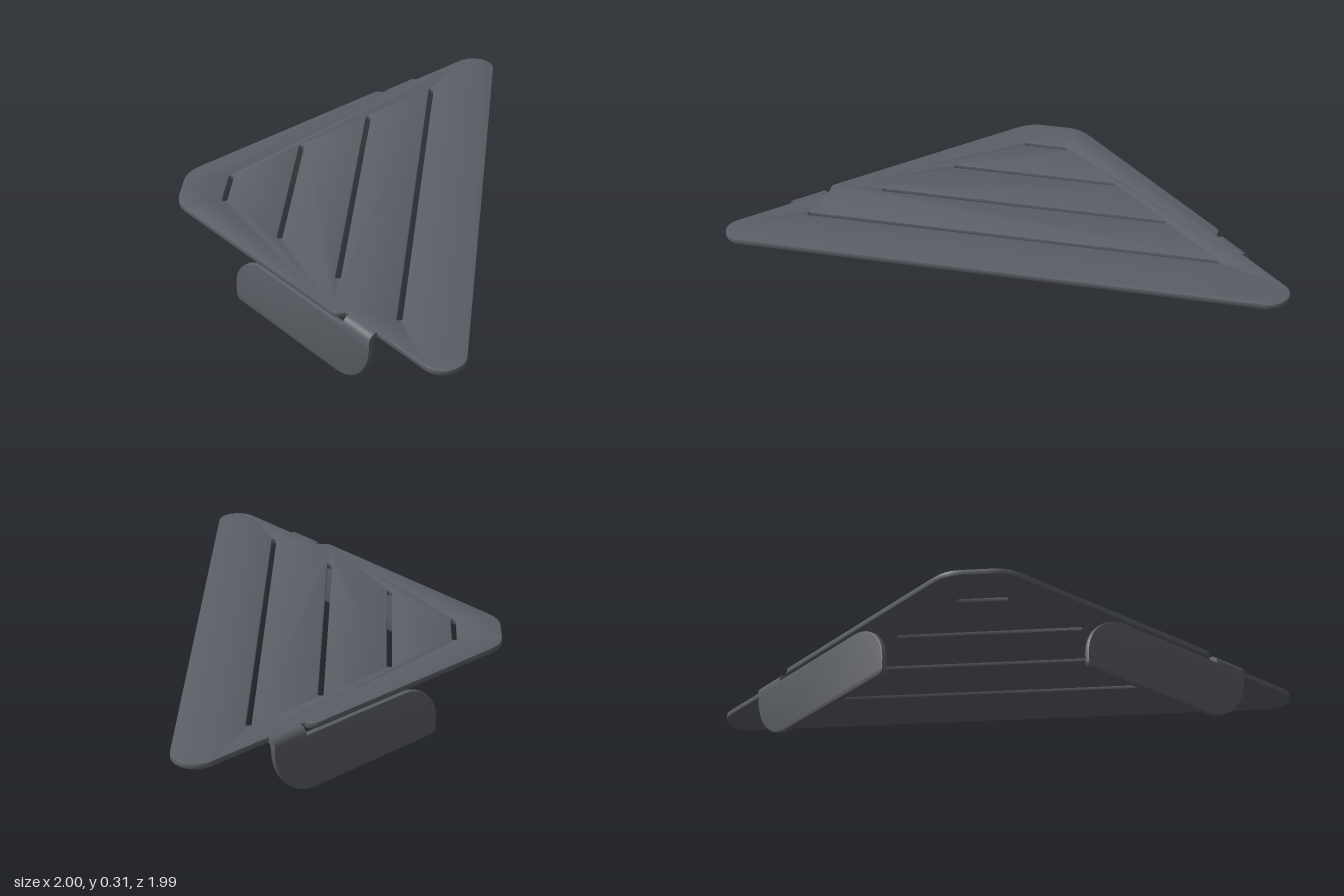
import * as THREE from 'three';
import { toCreasedNormals } from 'three/addons/utils/BufferGeometryUtils.js';

const material = new THREE.MeshStandardMaterial({ color: 0x5b5e65 });
const SHEET = 0.027;   // sheet thickness
const TOP = 0.312;     // upper face of the shelf
const BEND_Y = 0.272;  // top of the wall flanges, centre of the bends

function extrude(shape, depth, bevel = 0.005) {
  const geometry = new THREE.ExtrudeGeometry(shape, {
    depth: depth - 2 * bevel, curveSegments: 16, bevelEnabled: bevel > 0,
    bevelThickness: bevel, bevelSize: bevel, bevelOffset: -bevel, bevelSegments: 2,
  });
  geometry.translate(0, 0, bevel);
  return toCreasedNormals(geometry, 0.6);
}

function addPart(parent, name, geometry) {
  const mesh = new THREE.Mesh(geometry, material);
  mesh.name = name;
  parent.add(mesh);
  return mesh;
}

// Rounded diagonal slot between two mirrored ends (a, b) and (b, a) in plan
function slot(a, b, r = 0.012) {
  const path = new THREE.Path();
  const q = Math.PI / 4;
  path.absarc(a, -b, r, 3 * q, 7 * q, false);
  path.absarc(b, -a, r, -q, 3 * q, false);
  path.rotateless = true;
  path.closePath();
  return path;
}

// Slot drawn as a capsule whose axis runs at 45 degrees
function diagonalSlot(a, b, r = 0.012) {
  const path = new THREE.Path();
  const q = Math.PI / 4;
  path.absarc(a, -b, r, 3 * q, 7 * q, false);
  path.absarc(b, -a, r, -q, 3 * q, false);
  path.closePath();
  return path;
}

// Plan of the shelf, drawn with y = -z
function shelfShape() {
  const s = new THREE.Shape();
  const q = Math.PI / 4;
  s.moveTo(-0.955, -0.895);
  s.absarc(-0.855, -0.895, 0.1, Math.PI, 7 * q, false);   // front tip
  s.absarc(0.895, 0.855, 0.105, -q, Math.PI / 2, false);  // side tip
  s.lineTo(0.4, 0.96);
  s.lineTo(0.385, 0.965);                                 // step beside the bend
  s.quadraticCurveTo(0.37, 1, 0.34, 1);
  s.lineTo(-0.72, 1);
  s.bezierCurveTo(-0.8, 1, -0.83, 0.98, -0.87, 0.94);     // clipped corner
  s.lineTo(-0.94, 0.87);
  s.bezierCurveTo(-0.98, 0.83, -1, 0.8, -1, 0.72);
  s.lineTo(-1, -0.34);
  s.quadraticCurveTo(-1, -0.37, -0.965, -0.385);
  s.lineTo(-0.955, -0.4);
  s.closePath();
  for (const end of [-0.68, -0.26, 0.16, 0.575]) s.holes.push(diagonalSlot(-0.82, end));
  return s;
}

// Outline of a wall flange, swept at one end and blunt at the other
function flangeShape(start) {
  const s = new THREE.Shape();
  s.moveTo(start + 0.03, 0);
  s.lineTo(0.34, 0);
  s.bezierCurveTo(0.48, 0, 0.588, 0.12, 0.588, BEND_Y);
  s.lineTo(start + 0.22, BEND_Y);
  s.bezierCurveTo(start + 0.1, BEND_Y, start, 0.18, start, 0.07);
  s.lineTo(start, 0.03);
  s.quadraticCurveTo(start, 0, start + 0.03, 0);
  return s;
}

// Section of the fold that carries a flange, from the wall to the shelf
function bendShape() {
  const outer = TOP - BEND_Y, inner = outer - SHEET;
  const s = new THREE.Shape();
  s.moveTo(-outer, -0.008);
  s.lineTo(-inner, -0.008);
  s.absarc(0, 0, inner, Math.PI, Math.PI / 2, true);
  s.lineTo(0.008, inner);
  s.lineTo(0.008, outer);
  s.absarc(0, 0, outer, Math.PI / 2, Math.PI, false);
  s.closePath();
  return s;
}

export function createModel() {
  const model = new THREE.Group();
  model.name = 'cornerShelf';

  // Slotted triangular shelf
  const plate = extrude(shelfShape(), SHEET);
  plate.rotateX(-Math.PI / 2);
  plate.translate(0, TOP - SHEET, 0);
  addPart(model, 'slottedShelf', plate);

  // Back flange lies along x, side flange along z
  addPart(model, 'backFlange', extrude(flangeShape(-0.39), SHEET)).position.z = -1;
  const side = addPart(model, 'sideFlange', extrude(flangeShape(-0.37), SHEET));
  side.rotation.y = -Math.PI / 2;
  side.position.x = -1 + SHEET;

  // Folds joining the flanges to the shelf
  const foldStart = 0.41, foldEnd = 0.588;
  const fold = extrude(bendShape(), foldEnd - foldStart, 0);
  addPart(model, 'sideFold', fold).position.set(-0.96, BEND_Y, foldStart);
  const backFold = addPart(model, 'backFold', fold);
  backFold.rotation.y = -Math.PI / 2;
  backFold.position.set(foldEnd, BEND_Y, -0.96);

  return model;
}
